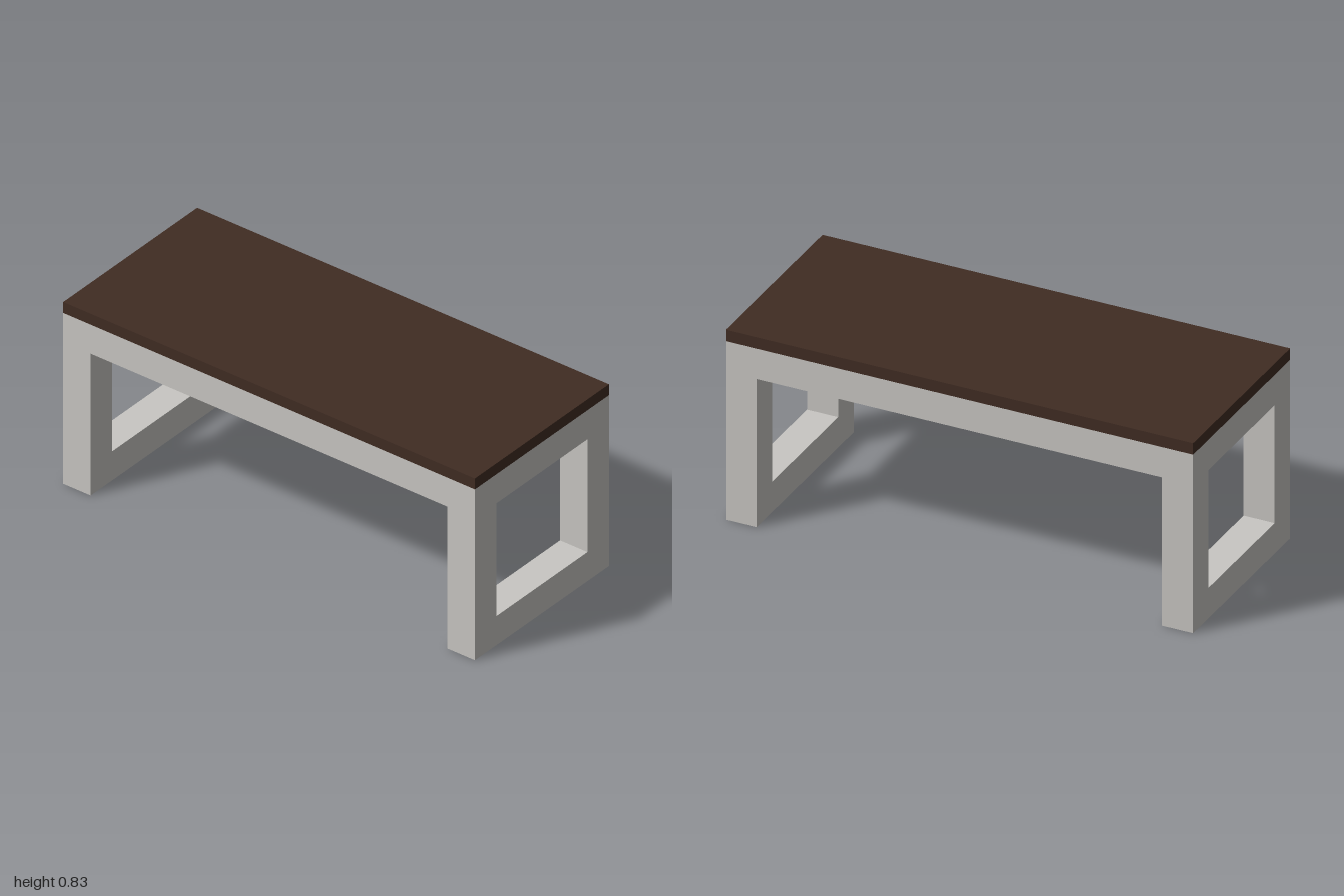
import * as THREE from 'three';

const LENGTH = 2, DEPTH = 0.833, HEIGHT = 0.833;
const TOP = 0.05;   // slab thickness
const BAR = 0.133;  // square bar section
const FRAME_H = HEIGHT - TOP;

export function createModel() {
  const model = new THREE.Group();
  model.name = 'bench';

  const wood = new THREE.MeshStandardMaterial({ color: 0x402c23 });
  wood.name = 'dark wood';
  const metal = new THREE.MeshStandardMaterial({ color: 0xc9c7c3 });
  metal.name = 'light grey frame';

  const add = (name, geometry, material, x, y, z) => {
    const mesh = new THREE.Mesh(geometry, material);
    mesh.name = name;
    mesh.position.set(x, y, z);
    model.add(mesh);
    return mesh;
  };

  // Seat slab
  add('seat', new THREE.BoxGeometry(LENGTH, TOP, DEPTH), wood, 0, HEIGHT - TOP / 2, 0);

  // Closed rectangular end frame, drawn in the z-y plane and extruded along x
  const rect = (target, w, y0, y1) => target
    .moveTo(-w, y0).lineTo(w, y0).lineTo(w, y1).lineTo(-w, y1).closePath();
  const outline = rect(new THREE.Shape(), DEPTH / 2, 0, FRAME_H);
  outline.holes.push(rect(new THREE.Path(), DEPTH / 2 - BAR, BAR, FRAME_H - BAR));
  const endFrame = new THREE.ExtrudeGeometry(outline, { depth: BAR, bevelEnabled: false });
  endFrame.translate(0, 0, -BAR / 2).rotateY(Math.PI / 2);

  // Long rails joining the end frames
  const rail = new THREE.BoxGeometry(LENGTH - 2 * BAR, BAR, BAR);

  for (const s of [1, -1]) {
    add(s > 0 ? 'leftLegFrame' : 'rightLegFrame', endFrame, metal, s * (LENGTH - BAR) / 2, 0, 0);
    add(s > 0 ? 'frontRail' : 'backRail', rail, metal, 0, FRAME_H - BAR / 2, s * (DEPTH - BAR) / 2);
  }

  return model;
}
